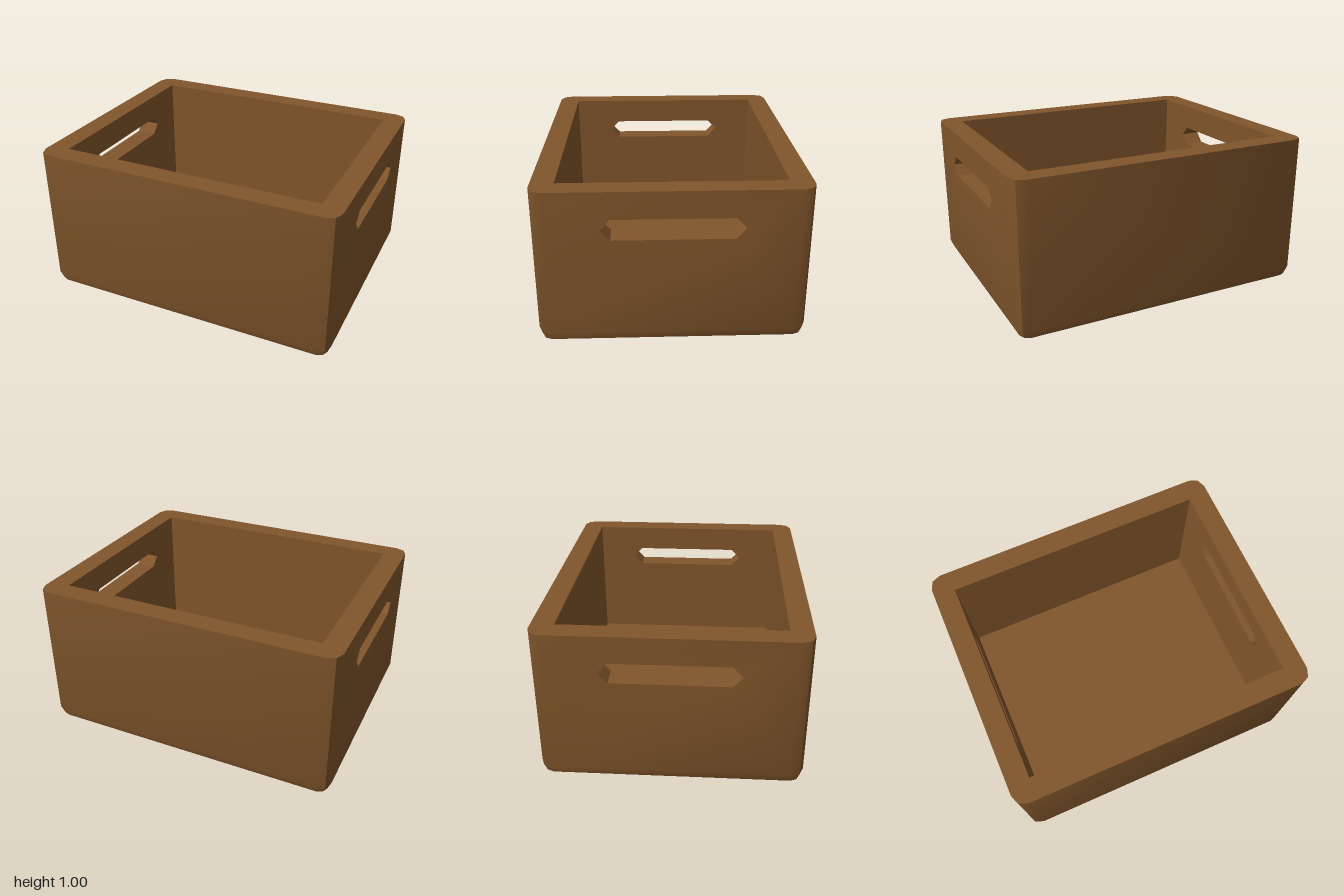
import * as THREE from 'three';
import { mergeGeometries, toCreasedNormals } from 'three/addons/utils/BufferGeometryUtils.js';

const W = 1, D = 0.815, H = 1;          // outer half width, half depth, height
const IW = 0.86, ID = 0.675, FLOOR = 0.14; // inner half width, half depth, floor height
const R = 0.08;                          // edge rounding
const SLOT = [[-0.36, 0.7], [0.36, 0.7], [0.42, 0.765], [0.36, 0.83], [-0.36, 0.83], [-0.42, 0.765]];

const toShape = (pts) => new THREE.Shape(pts.map(([x, y]) => new THREE.Vector2(x, y)));
const toPath = (pts) => new THREE.Path(pts.map(([x, y]) => new THREE.Vector2(x, y)));

// Rounded rectangle of 12 points, shrunk by an inset
function ring(inset, y) {
  const pts = [];
  [[1, 1], [-1, 1], [-1, -1], [1, -1]].forEach(([sx, sz], q) => {
    for (let k = 0; k < 3; k++) {
      const a = (q * 2 + k) * Math.PI / 4;
      const r = R - inset;
      pts.push(new THREE.Vector3(sx * (W - R) + r * Math.cos(a), y, sz * (D - R) + r * Math.sin(a)));
    }
  });
  return pts;
}

// Collects quads, leaving out collapsed triangles
function quadGeometry(quads) {
  const pos = [];
  for (const [a, b, c, d] of quads) {
    for (const t of [[a, b, c], [a, c, d]]) {
      if (new THREE.Triangle(...t).getArea() > 1e-7) t.forEach((p) => pos.push(p.x, p.y, p.z));
    }
  }
  const g = new THREE.BufferGeometry();
  g.setAttribute('position', new THREE.Float32BufferAttribute(pos, 3));
  return g;
}

// End wall face with a handle slot; facing is +1 or -1 along x
function slottedPanel(halfWidth, bottom, x, facing) {
  const s = toShape([[-halfWidth, bottom], [halfWidth, bottom], [halfWidth, H], [-halfWidth, H]]);
  s.holes.push(toPath(SLOT));
  return new THREE.ShapeGeometry(s).rotateY(facing * Math.PI / 2).translate(x, 0, 0);
}

function build(parts) {
  const plain = parts.map((p) => {
    const g = p.index ? p.toNonIndexed() : p;
    g.deleteAttribute('uv');
    g.deleteAttribute('normal');
    return g;
  });
  return toCreasedNormals(mergeGeometries(plain), 0.6);
}

export function createModel() {
  const group = new THREE.Group();
  group.name = 'crate';
  const material = new THREE.MeshStandardMaterial({ color: 0x80552b });
  const add = (name, parts) => {
    const mesh = new THREE.Mesh(build(parts), material);
    mesh.name = name;
    group.add(mesh);
  };

  // Outer shell: rounded bottom edge, rounded corners, slotted ends
  const inset = R * (1 - Math.SQRT1_2);
  const rings = [ring(R, 0), ring(inset, inset), ring(0, R), ring(0, H)];
  const quads = [[0, 3, 6, 9].map((i) => rings[0][i])];
  for (let b = 0; b < 3; b++) {
    for (let i = 0; i < 12; i++) {
      if (b === 2 && (i === 5 || i === 11)) continue; // slotted panels go here
      const j = (i + 1) % 12;
      quads.push([rings[b][i], rings[b + 1][i], rings[b + 1][j], rings[b][j]]);
    }
  }
  add('outerShell', [quadGeometry(quads), slottedPanel(D - R, R, W, 1), slottedPanel(D - R, R, -W, -1)]);

  // Flat rim
  const rim = toShape(rings[3].map((p) => [p.x, p.z]));
  rim.holes.push(toPath([[-IW, -ID], [IW, -ID], [IW, ID], [-IW, ID]]));
  add('rim', [new THREE.ShapeGeometry(rim).rotateX(-Math.PI / 2).translate(0, H, 0)]);

  // Inside walls and floor
  const wall = () => new THREE.PlaneGeometry(2 * IW, H - FLOOR);
  const midY = (H + FLOOR) / 2;
  add('innerWalls', [
    wall().translate(0, midY, -ID),
    wall().rotateY(Math.PI).translate(0, midY, ID),
    slottedPanel(ID, FLOOR, IW, -1),
    slottedPanel(ID, FLOOR, -IW, 1),
  ]);
  add('innerFloor', [new THREE.PlaneGeometry(2 * IW, 2 * ID).rotateX(-Math.PI / 2).translate(0, FLOOR, 0)]);

  // Linings of the handle slots
  for (const [name, x0, x1] of [['leftHandleSlot', IW, W], ['rightHandleSlot', -W, -IW]]) {
    const at = (x, [z, y]) => new THREE.Vector3(x, y, z);
    add(name, [quadGeometry(SLOT.map((p, i) => {
      const q = SLOT[(i + 1) % SLOT.length];
      return [at(x0, p), at(x0, q), at(x1, q), at(x1, p)];
    }))]);
  }
  return group;
}
